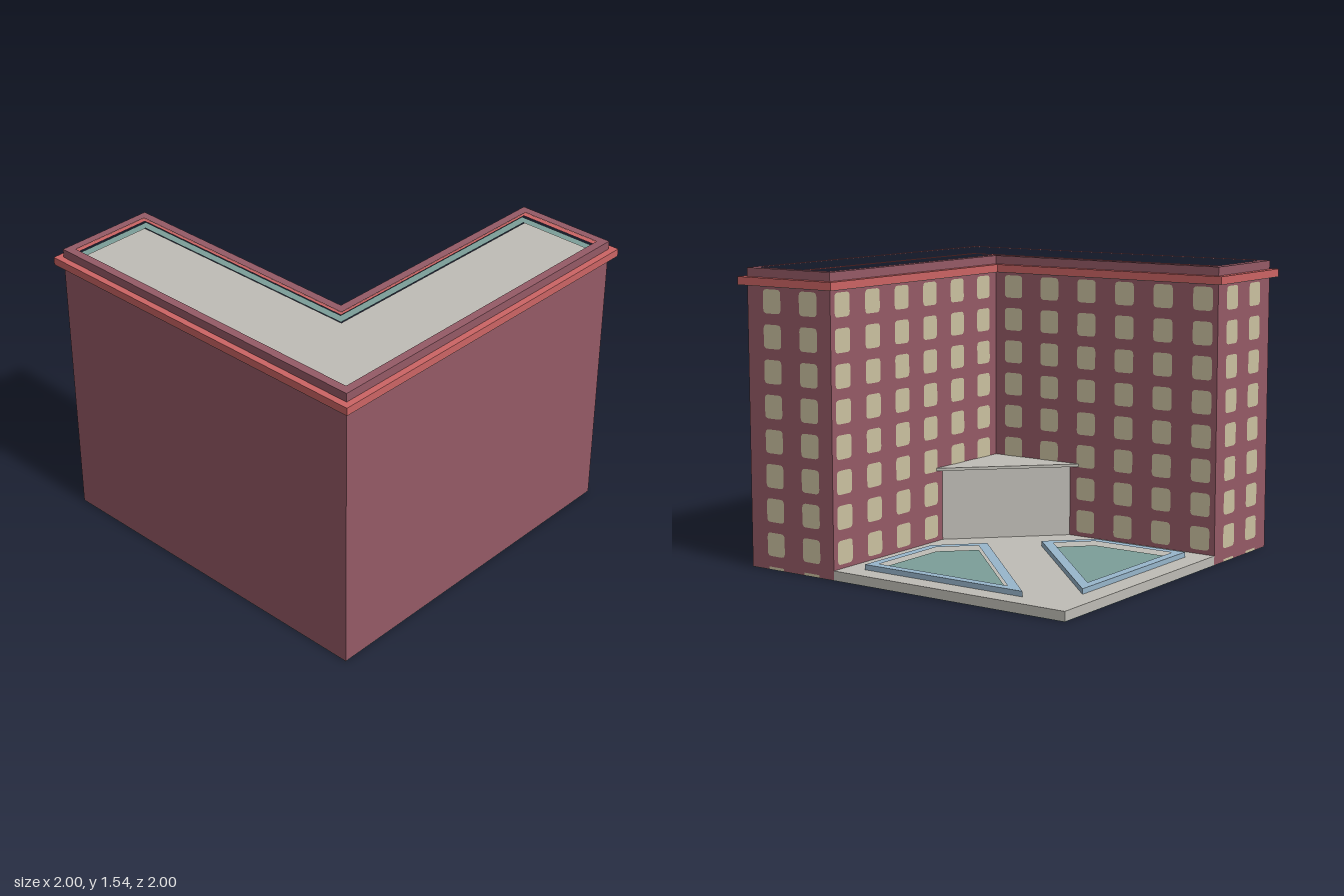
import * as THREE from 'three';
import { mergeGeometries } from 'three/addons/utils/BufferGeometryUtils.js';

const paint = (name, color) => {
  const m = new THREE.MeshStandardMaterial({ color });
  m.name = name;
  return m;
};

// Points are [x, z] on the ground plan; shapes use y = -z.
const toVec = (pts) => pts.map(([x, z]) => new THREE.Vector2(x, -z));

function prism(pts, y0, y1, hole) {
  const shape = new THREE.Shape(toVec(pts));
  if (hole) shape.holes.push(new THREE.Path(toVec(hole)));
  const g = new THREE.ExtrudeGeometry(shape, { depth: y1 - y0, bevelEnabled: false });
  return g.rotateX(-Math.PI / 2).translate(0, y0, 0);
}

// L plan: outer half size o, ends and inner corner given by the offsets
const ell = (o, i) => [[-o, -o], [-i, -o], [-i, i], [o, i], [o, o], [-o, o]];

// Swaps the two wings across the diagonal of the plan
const mirror = (pts) => pts.map(([x, z]) => [-z, -x]).reverse();

function roundedRect(w, h, r) {
  const s = new THREE.Shape(), a = w / 2, b = h / 2;
  s.moveTo(-a + r, -b);
  s.lineTo(a - r, -b);
  s.quadraticCurveTo(a, -b, a, -b + r);
  s.lineTo(a, b - r);
  s.quadraticCurveTo(a, b, a - r, b);
  s.lineTo(-a + r, b);
  s.quadraticCurveTo(-a, b, -a, b - r);
  s.lineTo(-a, -b + r);
  s.quadraticCurveTo(-a, -b, -a + r, -b);
  return new THREE.ShapeGeometry(s, 3);
}

export function createModel() {
  const model = new THREE.Group();
  const brick = paint('brick', 0x955a66);
  const trim = paint('red trim', 0xcc6464);
  const stone = paint('pale stone', 0xbfbdb6);
  const glass = paint('cream window', 0xcbc1a0);
  const curb = paint('blue curb', 0x98b6cc);
  const green = paint('garden green', 0x7c9f99);

  const add = (name, geometry, material) => {
    const m = new THREE.Mesh(geometry, material);
    m.name = name;
    model.add(m);
    return m;
  };

  // Building: walls with parapet, roof and cornice
  const W = 0.965, I = 0.42, T = 0.045;
  const roofPlan = ell(W - T, I + T);
  // the inset L has its ends pulled in as well
  roofPlan[0][1] = roofPlan[1][1] = -(W - T);
  add('walls', prism(ell(W, I), 0.002, 1.54, roofPlan), brick);
  add('roof', prism(roofPlan, 1.47, 1.48), stone);
  add('parapetLining', prism(roofPlan, 1.48, 1.538, ell(W - T - 0.002, I + T + 0.002)), stone);
  add('cornice', prism(ell(1, 0.385), 1.455, 1.495, ell(W - 0.01, I + 0.01)), trim);
  add('corniceSoffit', prism(ell(0.999, 0.386), 1.453, 1.455, ell(W - 0.01, I + 0.01)), green);

  // Ground: underside plate and raised plaza
  add('basePlate', new THREE.BoxGeometry(2 * W, 0.002, 2 * W).translate(0, 0.001, 0), green);
  add('plaza', prism([[-I, -W], [W, -W], [W, I], [-I, I]], 0.002, 0.05), stone);

  // Corner entrance with a triangular canopy
  const corner = (s) => [[-I, I], [-I, I - s], [-I + s, I]];
  add('entrance', prism(corner(0.49), 0.05, 0.43), stone);
  add('canopy', prism(corner(0.55), 0.43, 0.445), stone);

  // Two planters mirrored about the diagonal walk
  const outer = [[-0.31, -0.855], [0.65, -0.855], [-0.1, -0.105], [-0.31, -0.315]];
  const inner = [[-0.26, -0.805], [0.53, -0.805], [-0.1, -0.18], [-0.26, -0.335]];
  [['back', (p) => p], ['side', mirror]].forEach(([side, f]) => {
    add(side + 'PlanterCurb', prism(f(outer), 0.05, 0.077, f(inner)), curb);
    add(side + 'PlanterBed', prism(f(inner), 0.05, 0.054), green);
  });

  // Windows: rows of thin panes on the wing ends and courtyard faces
  const pane = roundedRect(0.115, 0.122, 0.022);
  const sill = roundedRect(0.1, 0.013, 0.004);
  function windowGrid(columns, atGround) {
    const parts = [];
    for (const u of columns) {
      for (let r = 0; r < 8; r++) parts.push(pane.clone().translate(u, 0.133 + r * 0.1776, 0));
      if (atGround) parts.push(sill.clone().translate(u, 0.0095, 0));
    }
    return mergeGeometries(parts);
  }
  const endCols = [0.8, 0.563];
  const courtCols = [0.3, 0.065, -0.172, -0.408, -0.643, -0.878];
  const E = 0.003;
  // faces toward +x: the pane's u runs along -z
  const facingX = (cols, x, g) =>
    windowGrid(cols.map((z) => -z), g).rotateY(Math.PI / 2).translate(x + E, 0, 0);
  // faces toward -z: the pane's u runs along -x
  const facingBack = (cols, z, g) =>
    windowGrid(cols, g).rotateY(Math.PI).translate(0, 0, z - E);
  add('sideEndWindows', facingX(endCols, W, true), glass);
  add('sideCourtWindows', facingX(courtCols, -I, false), glass);
  add('backEndWindows', facingBack(endCols, -W, true), glass);
  add('backCourtWindows', facingBack(courtCols, I, false), glass);

  return model;
}
